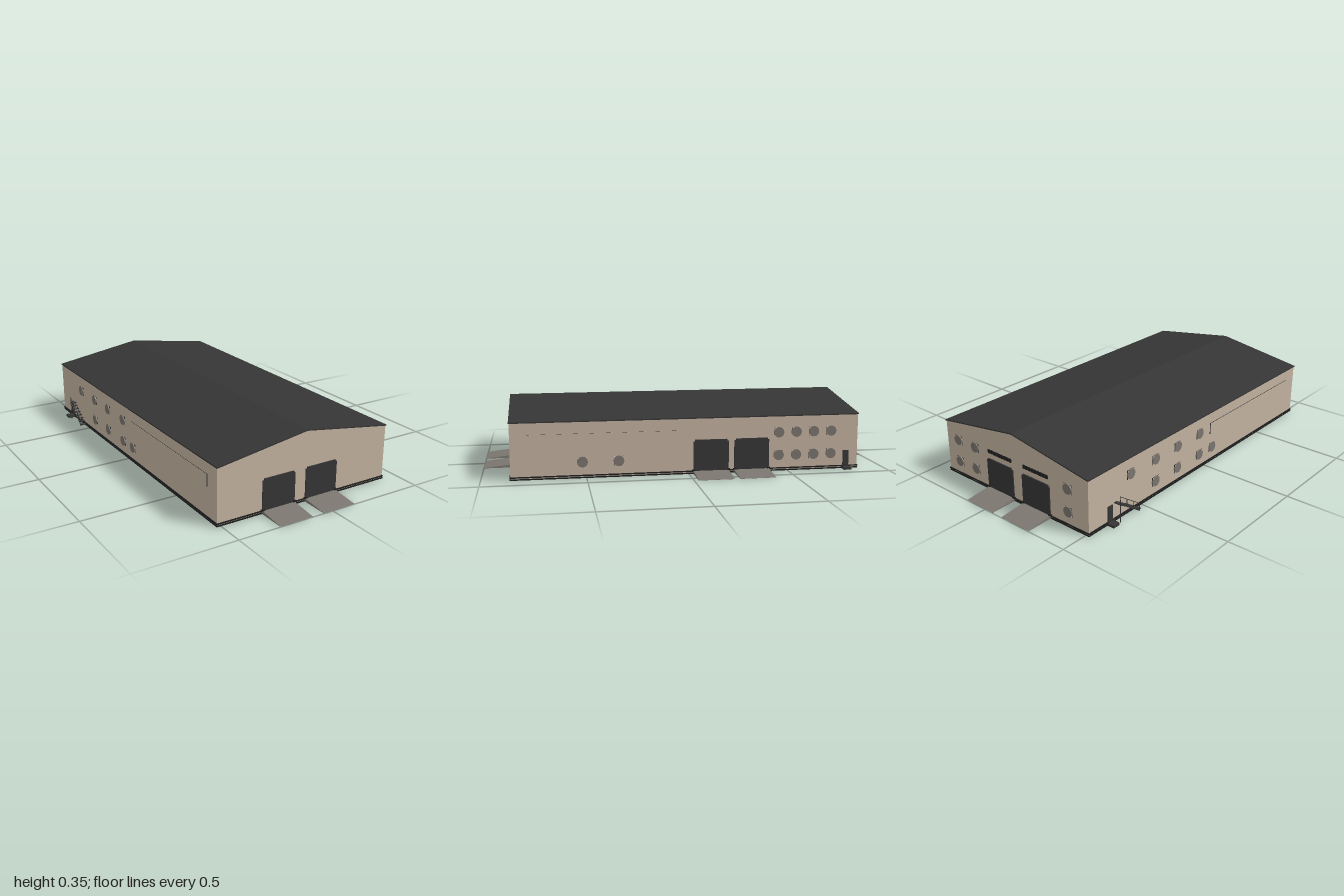
import * as THREE from 'three';

const mat = (name, color, side = THREE.FrontSide) => {
  const m = new THREE.MeshStandardMaterial({ color, side });
  m.name = name;
  return m;
};

export function createModel() {
  const root = new THREE.Group();
  root.name = 'warehouse';
  const wallMat = mat('wall beige', 0xc2b2a0, THREE.DoubleSide);
  const dark = mat('dark steel', 0x353535, THREE.DoubleSide);
  const black = mat('black trim', 0x1e1e1e);
  const glass = mat('window grey', 0x7a746e);
  const concrete = mat('ramp grey', 0x7c7670);

  // Main dimensions
  const X0 = -0.52, X1 = 0.415, XR = -0.0525, Z = 0.86, EAVE = 0.275, RIDGE = 0.347;

  const add = (parent, name, geo, material, x = 0, y = 0, z = 0) => {
    const m = new THREE.Mesh(geo, material);
    m.name = name;
    m.position.set(x, y, z);
    parent.add(m);
    return m;
  };
  const box = (parent, name, material, w, h, d, x, y, z) =>
    add(parent, name, new THREE.BoxGeometry(w, h, d), material, x, y, z);

  // Each side is a group whose local +z points out of the wall
  const makeSide = (name, x, z, angle) => {
    const g = new THREE.Group();
    g.name = name;
    g.position.set(x, 0, z);
    g.rotation.y = angle;
    root.add(g);
    return g;
  };
  const front = makeSide('frontSide', 0, Z, 0);
  const back = makeSide('backSide', 0, -Z, Math.PI);        // local x = -x
  const right = makeSide('rightSide', X1, 0, Math.PI / 2);  // local x = -z
  const left = makeSide('leftSide', X0, 0, -Math.PI / 2);   // local x = +z

  // Walls, open underneath
  const gable = (s) => new THREE.ShapeGeometry(new THREE.Shape([
    [X0, 0], [X1, 0], [X1, EAVE], [XR, RIDGE], [X0, EAVE],
  ].map(([x, y]) => new THREE.Vector2(s * x, y))));
  add(front, 'frontWall', gable(1), wallMat);
  add(back, 'backWall', gable(-1), wallMat);
  for (const side of [left, right])
    add(side, 'sideWall', new THREE.PlaneGeometry(2 * Z, EAVE), wallMat, 0, EAVE / 2, 0);

  // Thin pitched roof
  const o = 0.003, t = 0.005;
  const roofShape = new THREE.Shape([
    [X0 - o, EAVE - 0.001], [XR, RIDGE - 0.001], [X1 + o, EAVE - 0.001],
    [X1 + o, EAVE + t], [XR, RIDGE + t], [X0 - o, EAVE + t],
  ].map(([x, y]) => new THREE.Vector2(x, y)));
  add(root, 'roof', new THREE.ExtrudeGeometry(roofShape, { depth: 2 * (Z + o), bevelEnabled: false }),
    dark, 0, 0, -Z - o);

  // Two base rails round the foot of the walls
  const midX = (X0 + X1) / 2;
  for (const y of [0.004, 0.014]) {
    for (const z of [-Z, Z]) box(root, 'baseRail', black, X1 - X0 + 0.008, 0.006, 0.008, midX, y, z);
    for (const x of [X0, X1]) box(root, 'baseRail', black, 0.008, 0.006, 2 * Z, x, y, 0);
  }

  // Loading door with header, bumpers and wedge ramp
  const loadingDoor = (side, u) => {
    const g = new THREE.Group();
    g.name = 'loadingDoor';
    g.position.x = u;
    side.add(g);
    box(g, 'door', dark, 0.176, 0.162, 0.01, 0, 0.081, 0);
    box(g, 'doorHeader', dark, 0.16, 0.01, 0.012, 0, 0.165, 0);
    for (const s of [-1, 1]) box(g, 'bumper', black, 0.016, 0.006, 0.012, s * 0.086, 0.019, 0.004);
    const wedge = new THREE.Shape([
      new THREE.Vector2(0, 0), new THREE.Vector2(0.14, 0), new THREE.Vector2(0.14, 0.001), new THREE.Vector2(0, 0.016),
    ]);
    const ramp = add(g, 'ramp', new THREE.ExtrudeGeometry(wedge, { depth: 0.176, bevelEnabled: false }),
      concrete, 0.088, 0, 0);
    ramp.rotation.y = -Math.PI / 2;
  };
  for (const u of [-0.2, 0.036]) {
    loadingDoor(front, u);
    loadingDoor(back, -u);
  }
  for (const z of [-0.108, -0.312]) loadingDoor(right, -z);

  // Plate with dark edges and a wall-coloured face
  const plate = (side, name, w, h, u, y) => {
    box(side, name + 'Edge', dark, w, h, 0.008, u, y, 0);
    box(side, name + 'Face', wallMat, w, h, 0.001, u, y, 0.0045);
  };

  // Round windows, visible from inside as well
  const disk = new THREE.CylinderGeometry(0.026, 0.026, 0.014, 16).rotateX(Math.PI / 2);
  const roundWindow = (side, u, y) => {
    plate(side, 'windowFrame', 0.046, 0.046, u, y);
    box(side, 'windowInnerFace', wallMat, 0.046, 0.046, 0.001, u, y, -0.0045);
    add(side, 'windowPane', disk, glass, u, y, 0);
  };
  const LOW = 0.08, HIGH = 0.195;
  for (const z of [0.52, 0.345]) roundWindow(right, -z, LOW);
  for (const z of [-0.45, -0.54, -0.63, -0.72])
    for (const y of [LOW, HIGH]) roundWindow(right, -z, y);
  for (const x of [0.33, 0.21, -0.4])
    for (const y of [LOW, HIGH]) roundWindow(back, -x, y);
  for (const z of [-0.58, -0.4, -0.23, -0.05]) roundWindow(left, z, HIGH);
  for (const z of [-0.4, -0.23, -0.05, 0.06]) roundWindow(left, z, LOW);

  // Long plain panels on both sides
  plate(left, 'longPanel', 0.74, 0.06, 0.41, 0.188);
  plate(right, 'longPanel', 0.74, 0.06, -0.41, 0.188);

  // Row of vents above each back door
  for (const u of [0.2, -0.036])
    for (let i = 0; i < 9; i++)
      box(back, 'vent', black, 0.013, 0.018, 0.01, u - 0.072 + i * 0.018, 0.208, 0);

  // Small entrances with a doorstep
  const entrance = (side, u) => {
    box(side, 'entranceDoor', dark, 0.03, 0.085, 0.01, u, 0.05, 0);
    box(side, 'doorstep', dark, 0.04, 0.012, 0.04, u, 0.006, 0.02);
  };
  entrance(right, 0.8);
  entrance(left, -0.722);

  // Open steel stair against the left wall
  const stair = new THREE.Group();
  stair.name = 'outsideStair';
  left.add(stair);
  const N = 8, u0 = -0.685, u1 = -0.55, H = 0.095;
  for (let i = 0; i < N; i++) {
    const f = i / (N - 1);
    box(stair, 'tread', dark, 0.017, 0.004, 0.03, u0 + (u1 - u0) * f, H - (H - 0.008) * f, 0.015);
  }
  const run = u1 - u0, len = Math.hypot(run, H), slope = -Math.atan2(H, run);
  for (const z of [0.002, 0.029]) {
    const beam = box(stair, 'stringer', dark, len, 0.005, 0.003, (u0 + u1) / 2, H / 2, z);
    beam.rotation.z = slope;
  }
  const rail = box(stair, 'handrail', dark, len, 0.003, 0.003, (u0 + u1) / 2, H / 2 + 0.037, 0.029);
  rail.rotation.z = slope;
  for (let i = 0; i < 4; i++) {
    const f = i / 3;
    box(stair, 'railPost', dark, 0.003, 0.037, 0.003, u0 + run * f, H * (1 - f) + 0.0185, 0.029);
  }
  box(stair, 'supportPost', dark, 0.003, H, 0.003, u0, H / 2, 0.029);

  return root;
}
